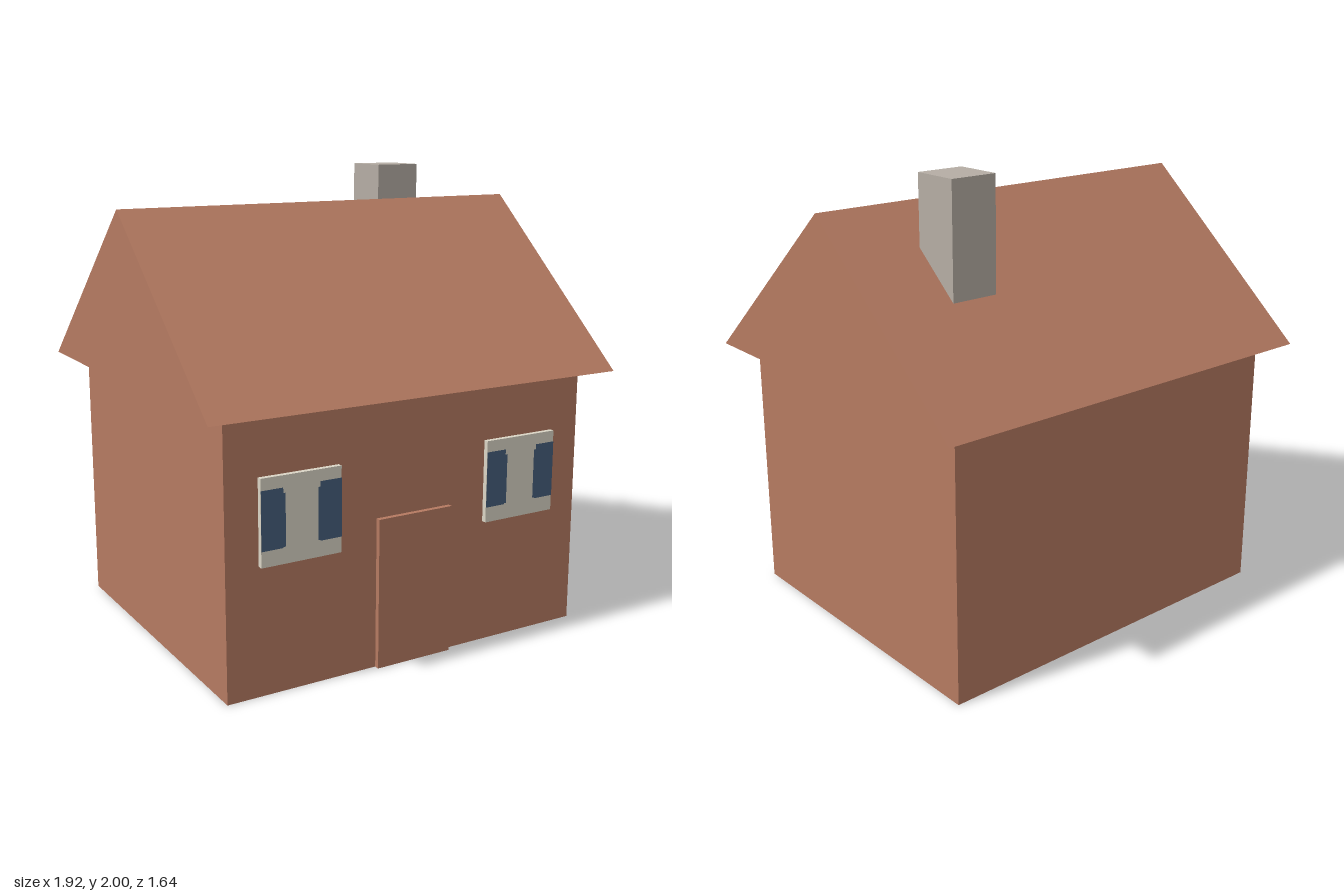
import * as THREE from 'three';

const material = (name, color) => {
  const m = new THREE.MeshStandardMaterial({ color });
  m.name = name;
  return m;
};

export function createModel() {
  const house = new THREE.Group();
  house.name = 'house';
  const brick = material('brick', 0xb57a61);
  const stone = material('stone', 0xb5ada4);
  const cream = material('cream', 0xdad5c5);
  const glass = material('blueGlass', 0x465e7c);

  const add = (name, geometry, mat, parent = house) => {
    const mesh = new THREE.Mesh(geometry, mat);
    mesh.name = name;
    parent.add(mesh);
    return mesh;
  };
  // Box given by its lower and upper corners
  const box = (name, mat, [x0, y0, z0], [x1, y1, z1], parent) =>
    add(name, new THREE.BoxGeometry(x1 - x0, y1 - y0, z1 - z0), mat, parent)
      .position.set((x0 + x1) / 2, (y0 + y1) / 2, (z0 + z1) / 2);
  const shapeOf = (points) => new THREE.Shape(points.map(([x, y]) => new THREE.Vector2(x, y)));

  // Walls, door and chimney
  box('walls', brick, [-0.855, 0, -0.713], [0.855, 1.147, 0.713]);
  box('door', brick, [-0.178, 0, 0.70], [0.178, 0.643, 0.735]);
  box('chimney', stone, [0.39, 1.4, -0.39], [0.603, 2, -0.178]);

  // Gabled roof prism with overhanging eaves
  const roof = new THREE.ExtrudeGeometry(
    shapeOf([[-0.82, 1.147], [0.82, 1.147], [0, 1.858]]),
    { depth: 1.924, bevelEnabled: false });
  roof.translate(0, 0, -0.962).rotateY(Math.PI / 2);
  add('roof', roof, brick);

  // Windows: cream panel with a pane at each side, inner corners clipped
  const pane = shapeOf([
    [-0.178, -0.118], [-0.082, -0.118], [-0.082, -0.108], [-0.072, -0.108],
    [-0.072, 0.108], [-0.082, 0.108], [-0.082, 0.13], [-0.178, 0.13],
  ].map(([x, y]) => [x, Math.max(-0.112, y)]));
  for (const side of [-1, 1]) {
    const win = new THREE.Group();
    win.name = side < 0 ? 'rightWindow' : 'leftWindow';
    win.position.set(side * 0.534, 0.718, 0);
    house.add(win);
    box('windowPanel', cream, [-0.178, -0.178, 0.70], [0.178, 0.178, 0.735], win);
    for (const turn of [-1, 1]) {
      const points = pane.getPoints().map((p) => [p.x * turn, p.y]);
      add(turn > 0 ? 'rightPane' : 'leftPane', new THREE.ShapeGeometry(shapeOf(points)), glass, win)
        .position.z = 0.737;
    }
  }
  return house;
}
